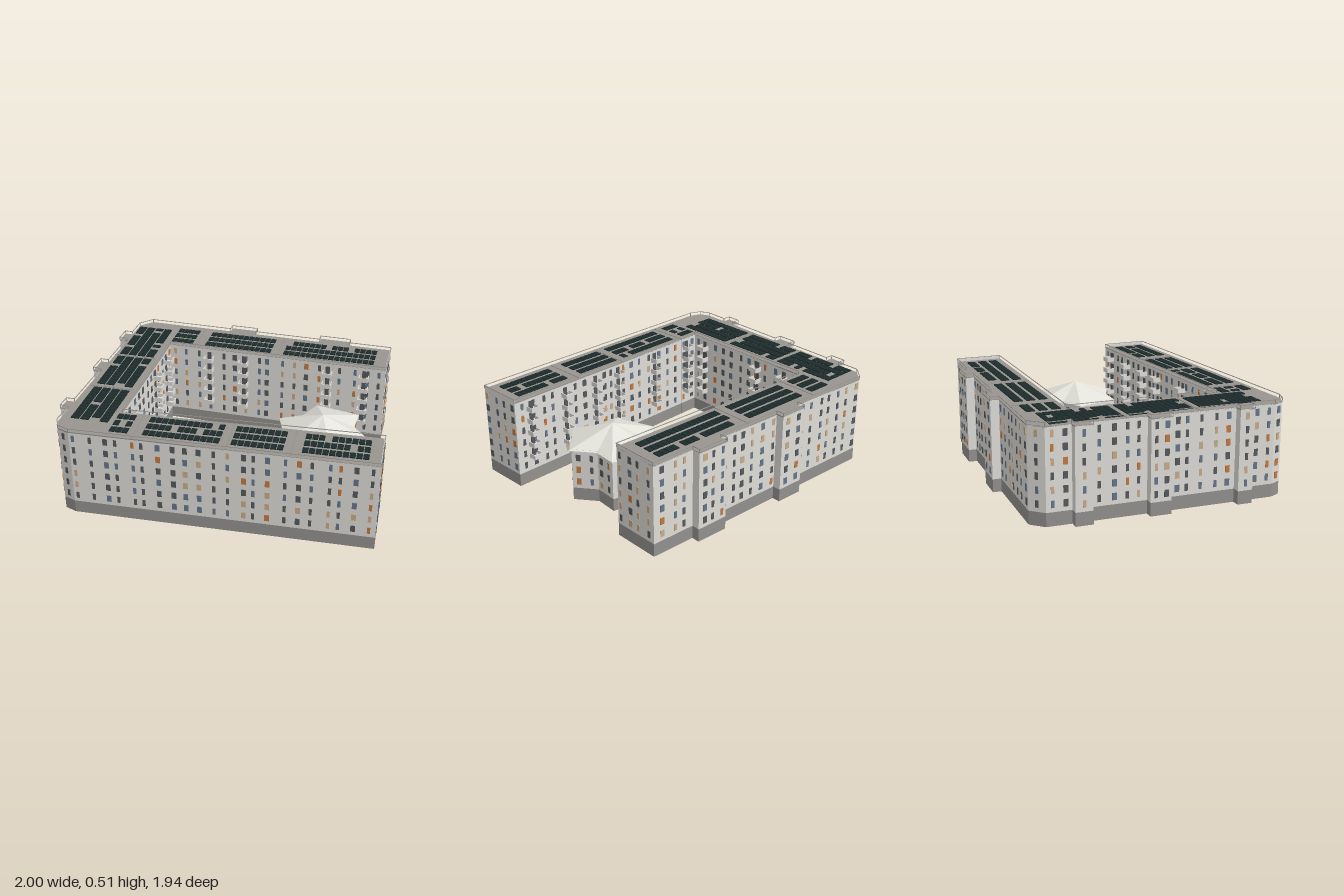
import * as THREE from 'three';
import { mergeGeometries } from 'three/addons/utils/BufferGeometryUtils.js';

const paint = (name, color, side = THREE.FrontSide) =>
  Object.assign(new THREE.MeshStandardMaterial({ color, side }), { name });

export function createModel() {
  const mats = {
    wall: paint('pale plaster', 0xdfddd8, THREE.DoubleSide),
    base: paint('grey plinth', 0x93918e, THREE.DoubleSide),
    roof: paint('roof grey', 0x989590),
    panel: paint('solar panel', 0x1d2b2b),
    canopy: paint('pavilion roof', 0xe2e1d9, THREE.DoubleSide),
    glass: paint('dark glass', 0x56595d),
    blue: paint('blue glass', 0x66768a),
    orange: paint('lit orange', 0xc27a40),
    tan: paint('tan blind', 0xc8ac88),
  };
  let seed = 7;
  const rand = () => (seed = (seed * 16807) % 2147483647) / 2147483647;

  // Geometries collected by part name and material, merged at the end
  const parts = new Map();
  const add = (name, mat, geo) => {
    const key = name + '|' + mat;
    if (!parts.has(key)) parts.set(key, []);
    parts.get(key).push(geo);
  };

  // Straight run between two plan points; its normal points outwards
  const edge = (p, q) => {
    const dx = q[0] - p[0], dz = q[1] - p[1], len = Math.hypot(dx, dz);
    const u = [dx / len, dz / len], n = [-u[1], u[0]];
    const at = (t, out = 0) => [p[0] + u[0] * t + n[0] * out, p[1] + u[1] * t + n[1] * out];
    const place = (geo, t, y, out = 0) => {
      const [x, z] = at(t, out);
      return geo.rotateY(Math.atan2(-u[1], u[0])).translate(x, y, z);
    };
    return { len, at, place };
  };
  const box = (w, h, d) => new THREE.BoxGeometry(w, h, d);
  const loop = (pts, fn) => pts.forEach((p, i) => fn(edge(p, pts[(i + 1) % pts.length])));

  // Wall, plinth and a grid of windows along one run
  const PLINTH = 0.07;
  const facade = (name, e, top, rows) => {
    add(name + 'Walls', 'wall',
      e.place(new THREE.PlaneGeometry(e.len, top - PLINTH), e.len / 2, (top + PLINTH) / 2));
    add(name + 'Plinth', 'base',
      e.place(new THREE.PlaneGeometry(e.len, PLINTH), e.len / 2, PLINTH / 2));
    if (e.len < 0.055) return;
    const cols = Math.max(1, Math.round(e.len / 0.07));
    for (let c = 0; c < cols; c++) {
      const t = (c + 0.5 + (cols > 2 ? (rand() - 0.5) * 0.4 : 0)) * e.len / cols;
      const w = rand() < 0.6 ? 0.016 : 0.024;
      for (let r = 0; r < rows; r++) {
        const k = rand();
        const mat = k < 0.52 ? 'glass' : k < 0.74 ? 'blue' : k < 0.9 ? 'tan' : 'orange';
        add(name + 'Windows', mat, e.place(box(w, 0.036, 0.006), t, 0.11 + r * 0.069));
      }
    }
  };

  // Plan of the three wings; stair towers step out of the outer sides
  const TOP = 0.49;
  const plan = [[0.375, 0.962], [0.512, 0.74], [-0.65, 0.04], [-0.19, -0.64], [0.85, 0.095],
    [0.995, -0.12], [-0.2, -0.97], [-0.29, -0.95], [-0.99, 0.02], [-1, 0.08], [-0.96, 0.135]];
  const towers = {
    5: [[0.245, 0.425], [0.815, 0.97]],
    7: [[0.13, 0.22], [0.51, 0.62], [0.98, 1.06]],
  };
  const outline = [];
  plan.forEach((p, i) => {
    outline.push(p);
    const e = edge(p, plan[(i + 1) % plan.length]);
    (towers[i] || []).forEach(([a, b]) =>
      outline.push(e.at(a), e.at(a, 0.045), e.at(b, 0.045), e.at(b)));
  });
  loop(outline, e => {
    facade('wing', e, TOP, 6);
    // Slim roof rail standing clear of the edge, with a post at each corner
    add('roofRail', 'roof', e.place(box(e.len + 0.004, 0.003, 0.004), e.len / 2, 0.51));
    add('railPost', 'roof', e.place(box(0.003, 0.02, 0.003), 0, 0.5));
  });

  // Flat roof
  const shape = new THREE.Shape(outline.map(([x, z]) => new THREE.Vector2(x, -z)));
  add('flatRoof', 'roof', new THREE.ExtrudeGeometry(shape, { depth: 0.006, bevelEnabled: false })
    .rotateX(-Math.PI / 2).translate(0, TOP - 0.004, 0));

  // Low parapets on the two end walls
  [0, 4].forEach(i => {
    const e = edge(plan[i], plan[i + 1]);
    add('endParapet', 'wall', e.place(box(e.len, 0.018, 0.004), e.len / 2, 0.499, -0.002));
  });

  // Solar panels in rows along each wing, with roof seams between sections
  const wings = [
    { from: [0.4425, 0.85], to: [-0.82, 0.07], rows: [-0.065, 0, 0.065], pitch: 0.033,
      spans: [[0.06, 0.4], [0.48, 0.73], [0.8, 1.19], [1.27, 1.37]],
      joints: [0.44, 0.76, 1.24], partyWalls: true },
    { from: [-0.25, -0.82], to: [-0.84, 0.06], rows: [-0.085, -0.033, 0.02, 0.072], pitch: 0.031,
      spans: [[-0.06, 0.3], [0.34, 0.68], [0.72, 1.06]], joints: [0.32, 0.7] },
    { from: [0.92, -0.015], to: [-0.22, -0.805], rows: [-0.065, 0, 0.065], pitch: 0.033,
      spans: [[0.07, 0.59], [0.67, 1.08], [1.14, 1.28]],
      joints: [0.63, 1.12], partyWalls: true },
  ];
  wings.forEach(({ from, to, rows, pitch, spans, joints, partyWalls }) => {
    const e = edge(from, to);
    spans.forEach(([a, b]) => rows.forEach(out => {
      for (let t = a + pitch / 2; t < b; t += pitch)
        if (rand() > 0.06)
          add('solarPanels', 'panel', e.place(box(pitch - 0.004, 0.005, 0.044), t, 0.497, out));
    }));
    joints.forEach(t => {
      add('roofSeam', 'base', e.place(box(0.004, 0.003, 0.24), t, 0.493));
      if (!partyWalls) return;
      add('partyWall', 'wall', e.place(box(0.004, 0.42, 0.24), t, 0.28));
      add('partyWallPlinth', 'base', e.place(box(0.004, 0.07, 0.24), t, 0.035));
    });
  });

  // Balconies stacked on the courtyard sides
  const balconies = {
    1: [0.1, 0.335, 0.55, 0.72, 1.01, 1.28],
    2: [0.09, 0.52, 0.72],
    3: [0.24, 0.45, 0.945, 1.155],
  };
  Object.entries(balconies).forEach(([i, spots]) => {
    const e = edge(plan[+i], plan[+i + 1]);
    spots.forEach(t => {
      for (let f = 0; f < 5; f++) {
        const y = 0.148 + f * 0.069;
        add('balconySlab', 'wall', e.place(box(0.054, 0.005, 0.046), t, y, 0.023));
        add('balconyFront', 'wall', e.place(box(0.054, 0.022, 0.004), t, y + 0.013, 0.044));
        [-1, 1].forEach(s =>
          add('balconySide', 'wall', e.place(box(0.004, 0.022, 0.042), t + s * 0.025, y + 0.013, 0.021)));
        add('balconyDoor', 'glass', e.place(box(0.024, 0.045, 0.008), t, y + 0.025));
      }
    });
  });

  // Star-shaped pavilion in the courtyard mouth
  const star = [[0.16, 0.305], [0.27, 0.385], [0.335, 0.49], [0.585, 0.43], [0.575, 0.285],
    [0.655, 0.18], [0.48, 0], [0.36, 0.075], [0.225, 0.06]];
  const [cx, cz] = [0.4, 0.25];
  const inset = star.map(([x, z]) => [cx + (x - cx) * 0.95, cz + (z - cz) * 0.95]);
  loop(inset, e => facade('pavilion', e, 0.295, 3));
  loop(star, e => {
    const [p, q] = [e.at(0), e.at(e.len)];
    const g = new THREE.BufferGeometry();
    g.setAttribute('position', new THREE.Float32BufferAttribute(
      [p[0], 0.29, p[1], q[0], 0.29, q[1], cx, 0.38, cz], 3));
    g.computeVertexNormals();
    add('pavilionRoof', 'canopy', g);
    add('pavilionEave', 'canopy', e.place(box(e.len, 0.005, 0.004), e.len / 2, 0.287, -0.002));
  });

  const model = new THREE.Group();
  model.name = 'courtyardBlock';
  parts.forEach((geos, key) => {
    const [name, mat] = key.split('|');
    const mesh = new THREE.Mesh(mergeGeometries(geos), mats[mat]);
    mesh.name = name;
    model.add(mesh);
  });
  return model;
}
